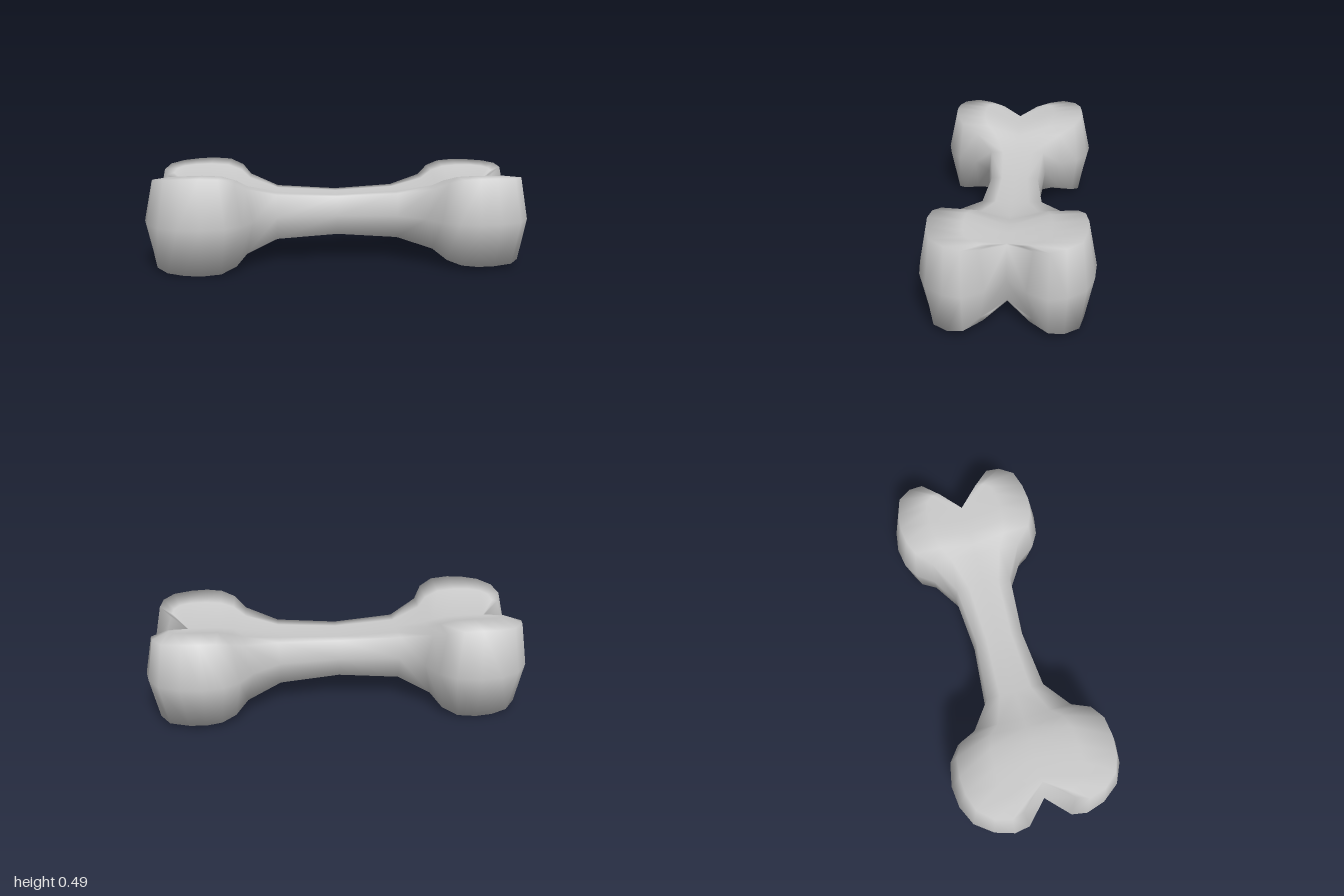
import * as THREE from 'three';
import { mergeVertices } from 'three/addons/utils/BufferGeometryUtils.js';

const MID_Y = 0.246;

// Half outline in plan, left notch to right notch: [x, z, half height at the rim, rim inset]
const outline = [
  [-0.87, 0, 0.15, 0.06], [-0.985, 0.11, 0.185, 0.06], [-0.998, 0.19, 0.207, 0.045],
  [-0.968, 0.288, 0.228, 0.04], [-0.9, 0.38, 0.237, 0.045], [-0.8, 0.428, 0.243, 0.052],
  [-0.69, 0.441, 0.246, 0.055], [-0.57, 0.418, 0.24, 0.05], [-0.49, 0.357, 0.212, 0.04],
  [-0.44, 0.255, 0.17, 0.035], [-0.32, 0.165, 0.118, 0.014],
  [0, 0.138, 0.102, 0.014],
  [0.315, 0.163, 0.118, 0.014], [0.455, 0.253, 0.158, 0.035], [0.52, 0.343, 0.2, 0.04],
  [0.6, 0.39, 0.222, 0.045], [0.705, 0.408, 0.228, 0.045], [0.815, 0.394, 0.228, 0.045],
  [0.922, 0.352, 0.223, 0.04], [0.98, 0.268, 0.218, 0.04], [1.0, 0.185, 0.205, 0.045],
  [0.945, 0.09, 0.175, 0.06], [0.85, 0, 0.145, 0.06],
];

// Half height along the centre line: thin shaft rising into the knobs
function spineHeight(x) {
  const s = THREE.MathUtils.smoothstep(Math.abs(x), 0.3, 0.66);
  return THREE.MathUtils.lerp(0.098 + 0.04 * Math.abs(x) * (1 - s), x < 0 ? 0.163 : 0.152, s);
}

// Upper rim: the outline pulled in towards the knob centre, or towards the shaft axis
function rimPoint([x, z, h, inset]) {
  if (z === 0) return [x - Math.sign(x) * inset, 0, h];
  if (Math.abs(x) < 0.4) return [x, z - inset, h];
  const dx = Math.sign(x) * 0.71 - x, dz = 0.21 - z;
  const k = inset / Math.hypot(dx, dz);
  return [x + dx * k, z + dz * k, h];
}

// Cross-section from the top centre line over the side to the bottom centre line
function section(station) {
  const rim = rimPoint(station);
  const sx = THREE.MathUtils.clamp(rim[0], -0.81, 0.79);
  const sh = station[1] === 0 ? rim[2] : spineHeight(sx);
  // [share of the way to the centre line, share of the drop to it]
  const upper = [[1, 1], [0.45, 0.14], [0, 0]].map(([t, drop]) => [
    THREE.MathUtils.lerp(rim[0], sx, t),
    THREE.MathUtils.lerp(rim[2], sh, drop),
    rim[1] * (1 - t),
  ]);
  const lower = upper.map(([x, y, z]) => [x, -y, z]).reverse();
  return [...upper, [station[0], 0, station[1]], ...lower];
}

function boneGeometry() {
  const rings = outline.map(section);
  const n = rings[0].length;
  const positions = [], indices = [];
  for (const side of [1, -1]) {
    const base = positions.length / 3;
    rings.forEach((ring) => ring.forEach(([x, y, z]) => positions.push(x, y + MID_Y, z * side)));
    for (let i = 0; i < rings.length - 1; i++) {
      for (let j = 0; j < n - 1; j++) {
        const a = base + i * n + j, b = a + n, c = a + 1, d = b + 1;
        if (side > 0) indices.push(a, c, b, b, c, d);
        else indices.push(a, b, c, b, d, c);
      }
    }
  }
  const geometry = new THREE.BufferGeometry();
  geometry.setAttribute('position', new THREE.Float32BufferAttribute(positions, 3));
  geometry.setIndex(indices);
  // Weld the two mirrored halves so the shading is smooth across the centre
  const welded = mergeVertices(geometry, 1e-4);
  welded.computeVertexNormals();
  return welded;
}

export function createModel() {
  const group = new THREE.Group();
  group.name = 'bone';
  const bone = new THREE.Mesh(
    boneGeometry(),
    new THREE.MeshStandardMaterial({ color: 0xcccccc, side: THREE.DoubleSide }),
  );
  bone.name = 'boneBody';
  group.add(bone);
  return group;
}
